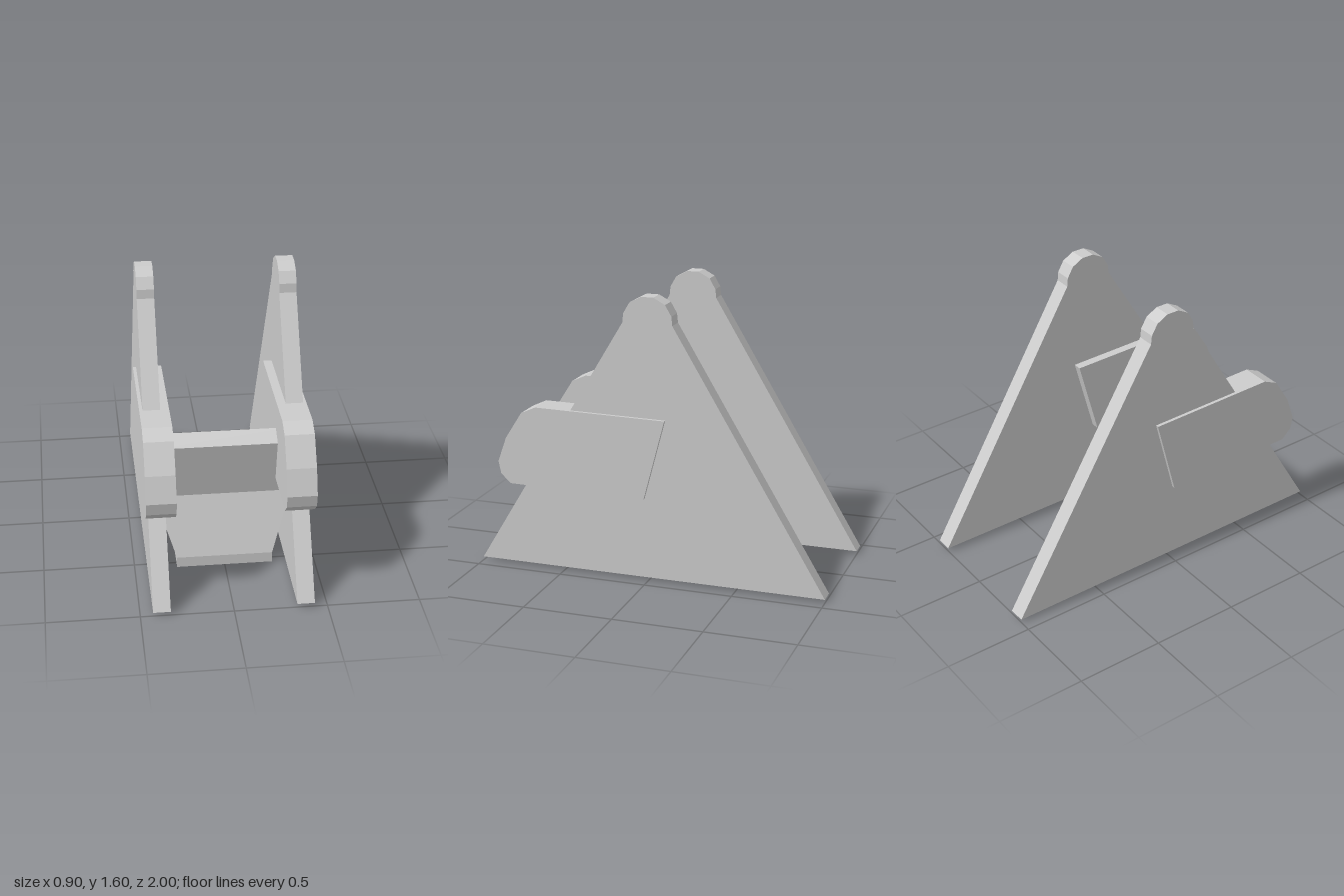
import * as THREE from 'three';

const material = new THREE.MeshStandardMaterial({ color: 0xcccccc, flatShading: true });

// Extrudes a [z, y] profile sideways, centred on the given x
function slab(name, profile, x, width) {
  const shape = new THREE.Shape(profile.map(([z, y]) => new THREE.Vector2(z, y)));
  const geometry = new THREE.ExtrudeGeometry(shape, { depth: width, bevelEnabled: false });
  geometry.translate(0, 0, -width / 2).rotateY(-Math.PI / 2);
  const mesh = new THREE.Mesh(geometry, material);
  mesh.name = name;
  mesh.position.x = x;
  return mesh;
}

// Joins four-cornered sections, listed from bottom to top, into a closed solid
function loft(name, sections) {
  const rings = sections.map(({ w, front, back }) => [
    [-w, front[1], front[0]], [w, front[1], front[0]],
    [w, back[1], back[0]], [-w, back[1], back[0]],
  ]);
  const positions = [];
  const quad = (a, b, c, d) => positions.push(...a, ...b, ...c, ...a, ...c, ...d);
  for (let r = 0; r < rings.length - 1; r++) {
    for (let i = 0; i < 4; i++) {
      const j = (i + 1) % 4;
      quad(rings[r][i], rings[r][j], rings[r + 1][j], rings[r + 1][i]);
    }
  }
  quad(...[...rings[0]].reverse());
  quad(...rings[rings.length - 1]);
  const geometry = new THREE.BufferGeometry();
  geometry.setAttribute('position', new THREE.Float32BufferAttribute(positions, 3));
  geometry.computeVertexNormals();
  const mesh = new THREE.Mesh(geometry, material);
  mesh.name = name;
  return mesh;
}

export function createModel() {
  const model = new THREE.Group();
  model.name = 'model';

  // Triangular side plate with a rounded tip
  const tip = [[0.14, 1.45], [0.135, 1.5], [0.1, 1.56], [0.035, 1.595]];
  const plate = [
    [1, 0.02], ...tip,
    ...[...tip].reverse().map(([z, y]) => [-z, y]),
    [-1, 0.02],
  ];

  // Forward arm: rounded nose, slanted rear end
  const arm = [
    [-0.1, 0.93], [0.02, 0.475], [0.81, 0.487], [0.865, 0.54],
    [0.88, 0.61], [0.83, 0.75], [0.735, 0.9], [0.65, 0.94],
  ];

  for (const [label, side] of [['left', 1], ['right', -1]]) {
    model.add(slab(label + 'SidePlate', plate, side * 0.385, 0.094));
    model.add(slab(label + 'Arm', arm, side * 0.37, 0.16));
  }

  // Central foot, widening upwards into a forward-leaning shank; [z, y] edges
  model.add(loft('foot', [
    { w: 0.265, front: [0.545, 0], back: [0.137, 0] },
    { w: 0.265, front: [0.545, 0.06], back: [0.137, 0.06] },
    { w: 0.377, front: [0.43, 0.39], back: [0.25, 0.43] },
    { w: 0.38, front: [0.51, 0.73], back: [0.427, 0.78] },
  ]));

  return model;
}
